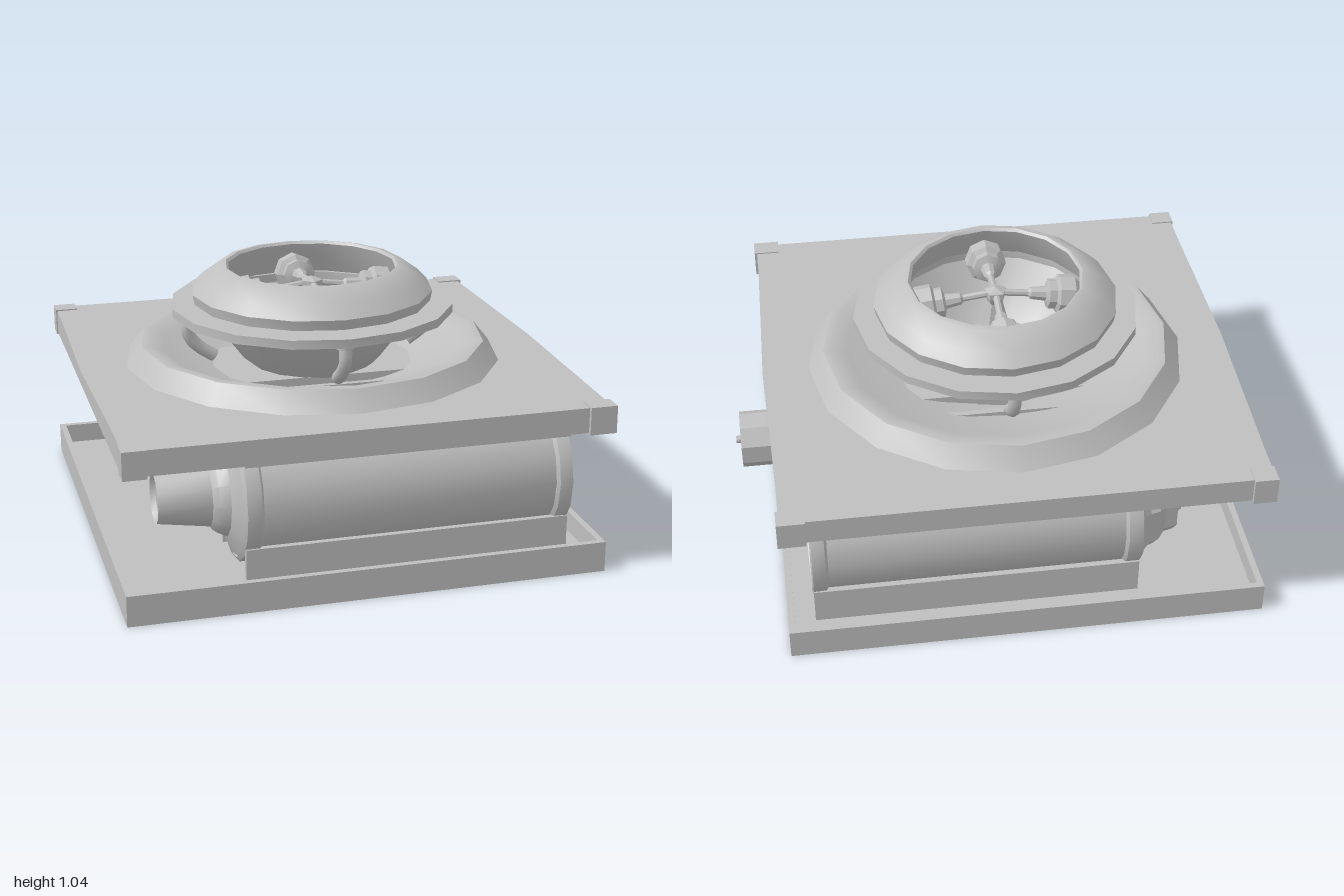
import * as THREE from 'three';
import { toCreasedNormals } from 'three/addons/utils/BufferGeometryUtils.js';

export function createModel() {
  const root = new THREE.Group();
  const grey = new THREE.MeshStandardMaterial({ color: 0xbfbfbf, side: THREE.DoubleSide });
  grey.name = 'plain grey';
  const CX = -0.065; // axis of the round top assembly

  const add = (name, geo, x = 0, y = 0, z = 0, parent = root) => {
    const m = new THREE.Mesh(geo, grey);
    m.name = name;
    m.position.set(x, y, z);
    parent.add(m);
    return m;
  };
  // box given by its limits
  const box = (name, x0, x1, y0, y1, z0, z1) =>
    add(name, new THREE.BoxGeometry(x1 - x0, y1 - y0, z1 - z0), (x0 + x1) / 2, (y0 + y1) / 2, (z0 + z1) / 2);
  // turned part from [radius, height] points
  const turned = (pts, sides = 16, crease = 0.55) =>
    toCreasedNormals(new THREE.LatheGeometry(pts.map(p => new THREE.Vector2(...p)), sides), crease);
  // the same with its axis along +x, points are [radius, x]
  const turnedX = (pts, sides, crease) => turned(pts, sides, crease).rotateZ(-Math.PI / 2);

  const walls = (name, x0, x1, y0, y1, zh, t) => {
    box(name, x0, x1, y0, y1, zh - t, zh);
    box(name, x0, x1, y0, y1, -zh, -zh + t);
    box(name, x0, x0 + t, y0, y1, -zh + t, zh - t);
    box(name, x1 - t, x1, y0, y1, -zh + t, zh - t);
  };

  // bottom tray
  box('trayFloor', -0.98, 0.84, 0, 0.04, -0.91, 0.91);
  walls('trayWall', -0.99, 0.85, 0, 0.12, 0.92, 0.025);

  // upper deck with a round hole, hollow underneath
  const deck = new THREE.Shape();
  deck.moveTo(-0.98, -0.915);
  deck.lineTo(0.85, -0.915);
  deck.lineTo(0.87, 0);
  deck.lineTo(0.85, 0.915);
  deck.lineTo(-0.98, 0.915);
  deck.lineTo(-1, 0);
  const hole = new THREE.Path();
  hole.absarc(CX, 0, 0.7, 0, Math.PI * 2, true);
  deck.holes.push(hole);
  add('deckTop', new THREE.ExtrudeGeometry(deck, { depth: 0.025, bevelEnabled: false, curveSegments: 16 })
    .rotateX(-Math.PI / 2), 0, 0.643);
  walls('deckSkirt', -0.985, 0.855, 0.57, 0.665, 0.915, 0.025);
  for (const s of [-1, 1]) {
    const z0 = s > 0 ? 0.85 : -0.93, z1 = z0 + 0.08;
    box('deckCorner', -0.99, -0.9, 0.565, 0.673, z0, z1);
    box('deckCorner', 0.76, 0.865, 0.565, 0.673, z0, z1);
  }

  // raised dish and central funnel
  add('dish', turned([[0.26, 0.6], [0.36, 0.63], [0.48, 0.67], [0.6, 0.72], [0.66, 0.747], [0.69, 0.745], [0.755, 0.665]].reverse()), CX);
  add('funnel', turned([[0.001, 0.6], [0.19, 0.6], [0.28, 0.67], [0.34, 0.75], [0.43, 0.87]]), CX);
  add('flangeRing', turned([[0.41, 0.86], [0.565, 0.86], [0.565, 0.895], [0.41, 0.895], [0.41, 0.86]]), CX);
  add('topCowl', turned([[0.39, 0.905], [0.475, 0.905], [0.483, 0.945], [0.44, 0.99],
    [0.37, 1.04], [0.345, 1.045], [0.335, 1.035], [0.36, 0.97], [0.39, 0.905]], 16, 0.8), CX);

  // pistons inside the cowl and curved legs below the ring, every quarter turn
  const legPath = new THREE.CatmullRomCurve3([
    new THREE.Vector3(0.5, 0.87, 0), new THREE.Vector3(0.505, 0.79, 0),
    new THREE.Vector3(0.47, 0.74, 0), new THREE.Vector3(0.4, 0.69, 0)]);
  for (let i = 0; i < 4; i++) {
    const arm = new THREE.Group();
    arm.name = 'pistonArm';
    arm.position.x = CX;
    arm.rotation.y = i * Math.PI / 2;
    root.add(arm);
    add('curvedLeg', new THREE.TubeGeometry(legPath, 8, 0.026, 8), 0, 0, 0, arm);
    add('legFoot', new THREE.CylinderGeometry(0.035, 0.035, 0.02, 8), 0.5, 0.85, 0, arm);
    const piston = turnedX([[0.001, 0.03], [0.014, 0.03], [0.014, 0.13], [0.024, 0.14], [0.03, 0.2],
      [0.06, 0.21], [0.06, 0.24], [0.08, 0.25], [0.08, 0.31], [0.05, 0.34], [0.001, 0.34]], 8, 0.3);
    add('piston', piston, 0, 0.965, 0, arm).rotation.z = -0.13;
  }
  add('centreHub', turned([[0.001, 0.6], [0.1, 0.62], [0.06, 0.8], [0.03, 0.92], [0.045, 0.95], [0.045, 0.975], [0.001, 0.99]], 5, 0.3), CX);
  const drum = add('innerDrum', new THREE.CylinderGeometry(0.07, 0.07, 0.34, 10).rotateZ(Math.PI / 2), CX, 0.68, 0);
  drum.rotation.y = 0.25;

  // two long tanks, open at the right end, held by rails
  const AY = 0.335;
  for (const s of [-1, 1]) {
    const z = s * 0.56;
    add('tank', turnedX([[0.25, -0.53], [0.266, -0.52], [0.266, -0.465], [0.25, -0.455], [0.25, 0.685],
      [0.266, 0.695], [0.268, 0.745], [0.252, 0.75], [0.24, 0.72], [0.24, 0.1],
      [0.2, -0.02], [0.11, -0.09], [0.001, -0.11]], 16), 0, AY, z);
    for (const d of [-0.21, 0.21]) {
      box('lowerRail', -0.52, 0.745, 0.03, 0.185, z + d - 0.012, z + d + 0.012);
      box('upperRail', -0.52, 0.745, 0.51, 0.65, z + d - 0.012, z + d + 0.012);
    }
  }
  // front tank ends in a nozzle
  add('nozzle', turnedX([[0.001, -0.8], [0.08, -0.8], [0.095, -0.82], [0.125, -0.62], [0.15, -0.6],
    [0.17, -0.56], [0.25, -0.525]], 12), 0, AY, 0.56);
  // rear tank ends in a stepped cap with a pin
  add('tankCap', turnedX([[0.001, -0.82], [0.015, -0.82], [0.015, -0.72], [0.08, -0.71], [0.09, -0.69],
    [0.15, -0.68], [0.16, -0.63], [0.2, -0.6], [0.215, -0.56], [0.25, -0.525]], 9, 0.3), 0, AY, -0.56);

  // central engine between the tanks
  box('engineBlock', -0.48, 0.55, 0.04, 0.645, -0.235, 0.235);
  add('engine', turnedX([[0.001, -0.56], [0.16, -0.56], [0.21, -0.52], [0.21, 0.5], [0.225, 0.55], [0.225, 0.66],
    [0.16, 0.745], [0.135, 0.745], [0.135, 0.85], [0.115, 0.85], [0.115, 0.98], [0.085, 0.98],
    [0.075, 0.95], [0.001, 0.95]], 9, 0.3), 0, AY, 0);
  add('shaft', new THREE.CylinderGeometry(0.015, 0.015, 0.1, 8).rotateZ(Math.PI / 2), 0.95, AY, 0);

  return root;
}
